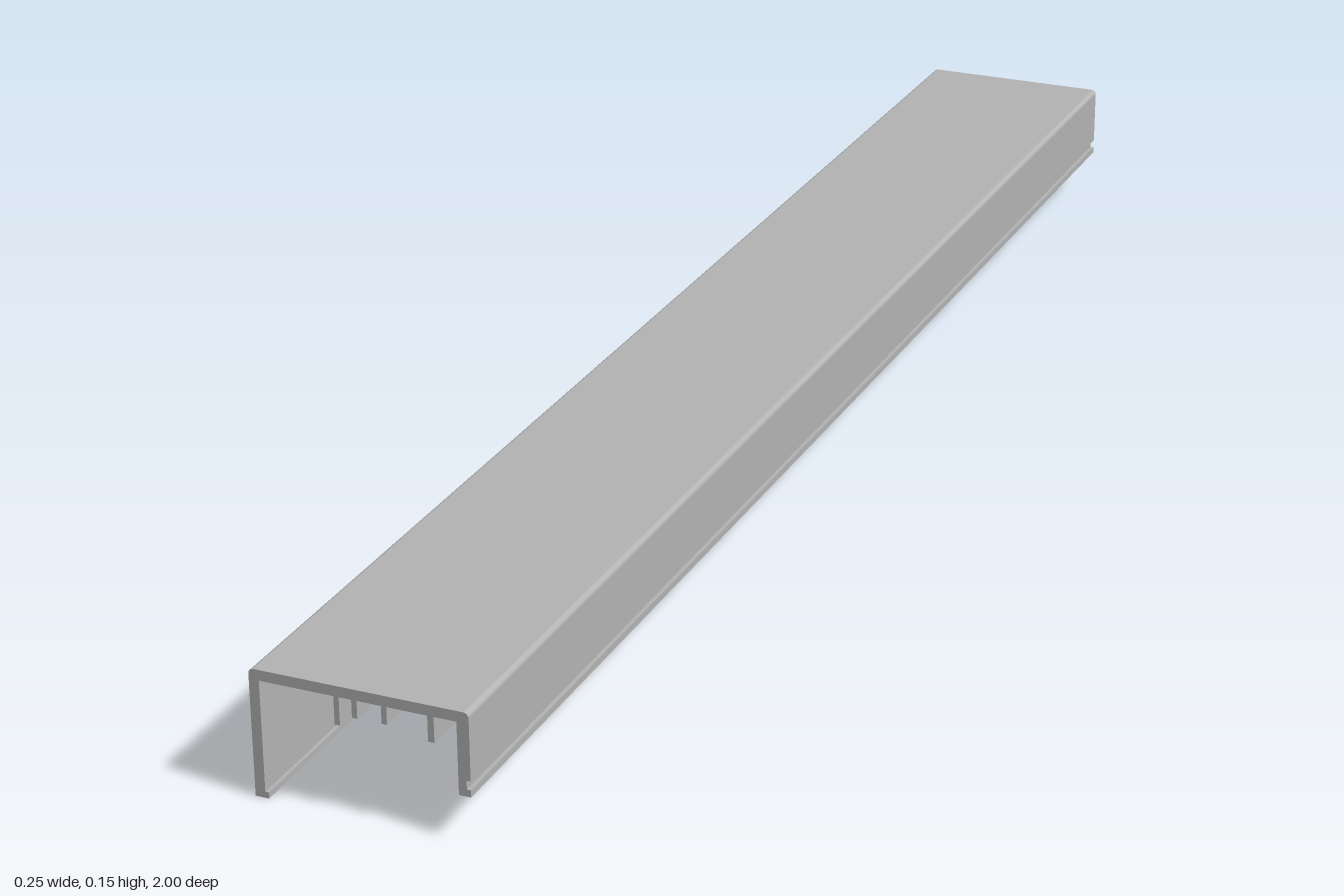
import * as THREE from 'three';

const LENGTH = 2;
const TOP = 0.146, UNDER = 0.134;     // top plate faces
const LEFT = 0.1225, RIGHT = -0.1225; // outer wall faces
const R = 0.006;                      // outer corner radius

// Ribs under the top plate: [x from, x to, lower edge]
const RIBS = [
  [-0.027, -0.021, 0.102],
  [-0.007, -0.001, 0.114],
  [0.026, 0.032, 0.114],
  [0.077, 0.084, 0.105],
];

export function createModel() {
  const group = new THREE.Group();
  group.name = 'channelCover';
  const aluminium = new THREE.MeshStandardMaterial({ color: 0xb3b3b3 });
  aluminium.name = 'aluminium grey';

  const s = new THREE.Shape();
  // Long wall with its inward lip
  s.moveTo(RIGHT, 0);
  s.lineTo(-0.107, 0);
  s.lineTo(-0.107, 0.007);
  s.lineTo(-0.111, 0.007);
  s.lineTo(-0.111, UNDER);
  // Ribs
  for (const [x0, x1, y] of RIBS) {
    s.lineTo(x0, UNDER);
    s.lineTo(x0, y);
    s.lineTo(x1, y);
    s.lineTo(x1, UNDER);
  }
  // Short wall with its outer groove
  s.lineTo(0.109, UNDER);
  s.lineTo(0.109, 0.052);
  s.lineTo(LEFT, 0.052);
  s.lineTo(LEFT, 0.06);
  s.lineTo(0.118, 0.06);
  s.lineTo(0.118, 0.07);
  s.lineTo(LEFT, 0.07);
  // Rounded top corners
  s.lineTo(LEFT, TOP - R);
  s.absarc(LEFT - R, TOP - R, R, 0, Math.PI / 2, false);
  s.lineTo(RIGHT + R, TOP);
  s.absarc(RIGHT + R, TOP - R, R, Math.PI / 2, Math.PI, false);
  s.closePath();

  // Constant profile running the full length
  const geometry = new THREE.ExtrudeGeometry(s, { depth: LENGTH, bevelEnabled: false, curveSegments: 5 });
  geometry.translate(0, 0, -LENGTH / 2);
  const mesh = new THREE.Mesh(geometry, aluminium);
  mesh.name = 'extrudedChannel';
  group.add(mesh);
  return group;
}
